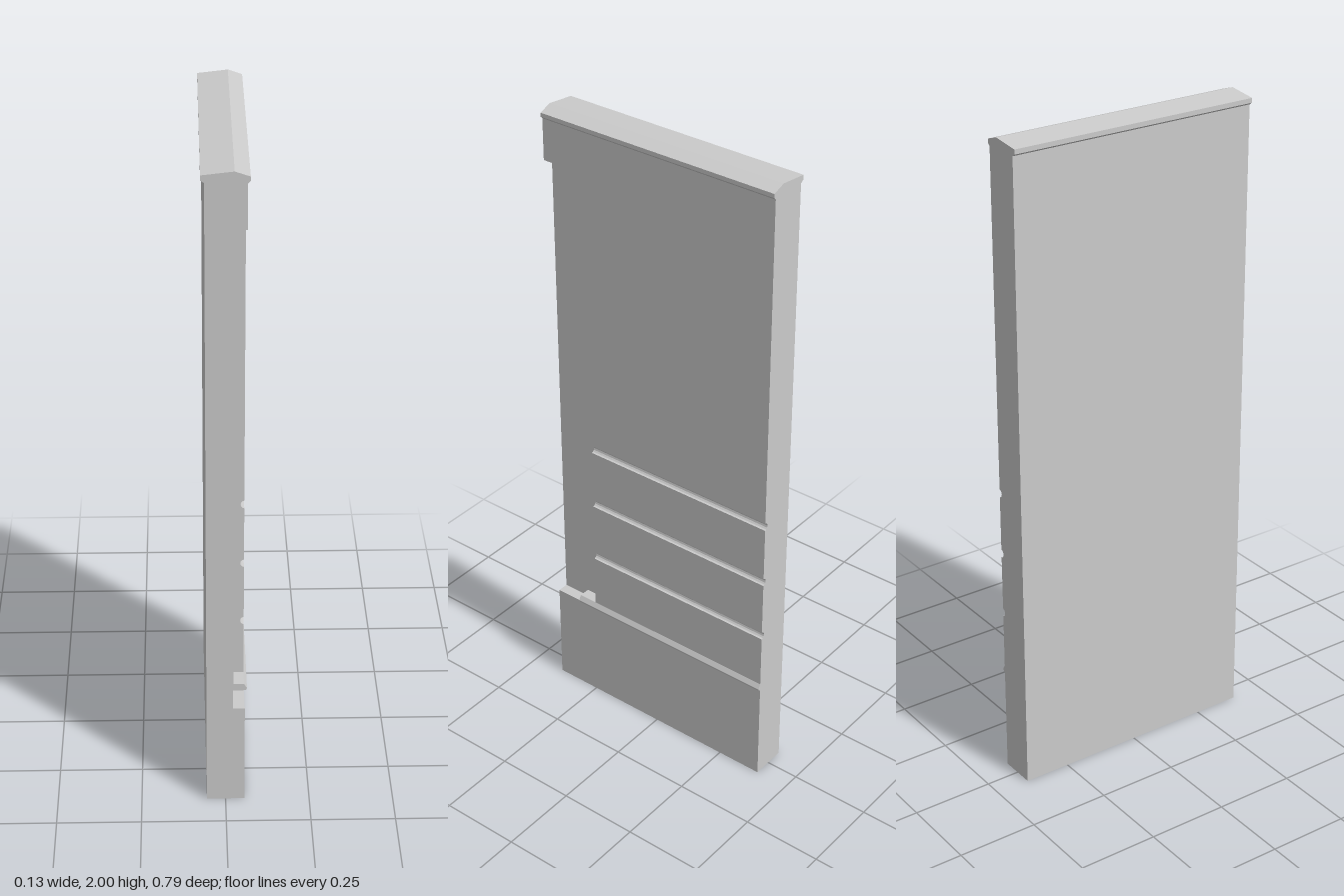
import * as THREE from 'three';

const material = new THREE.MeshStandardMaterial({ color: 0xcccccc });
const FACE = 0.056; // half thickness of the wall
const BACK_Z = -0.395, FRONT_Z = 0.395;
const NOTCH_Z = 0.245, SILL_END_Z = 0.305;
const NOTCH_X = 0.022, NOTCH_LOW = 0.33, NOTCH_HIGH = 1.84;

// Extrude an x-y outline between two z positions
function extrudeZ(name, points, z0, z1) {
  const shape = new THREE.Shape(points.map(([x, y]) => new THREE.Vector2(x, y)));
  const geometry = new THREE.ExtrudeGeometry(shape, { depth: z1 - z0, bevelEnabled: false });
  geometry.translate(0, 0, z0);
  const mesh = new THREE.Mesh(geometry, material);
  mesh.name = name;
  return mesh;
}

// Half-round groove cut into the +x face, listed upwards
function groove(y, r = 0.0125, steps = 6) {
  return Array.from({ length: steps + 1 }, (_, i) => {
    const a = (Math.PI * i) / steps;
    return [FACE - 0.011 * Math.sin(a), y - r * Math.cos(a)];
  });
}

// Overhanging coping with a sloped top, from the +x face round to the -x face
const coping = [
  [FACE, 1.967], [0.063, 1.974], [0.063, 1.986], [0.022, 2],
  [-0.066, 1.99], [-0.066, 1.976], [-FACE, 1.969],
];

// Nose of the sill moulding, listed upwards
const sillNose = [[FACE, NOTCH_LOW], [0.062, 0.331], [0.065, 0.338], [FACE, 0.353]];

export function createModel() {
  const group = new THREE.Group();
  group.name = 'wallPanel';

  // Main wall: sill, three grooves and coping in one section
  group.add(extrudeZ('groovedWall', [
    [-FACE, 0], [FACE, 0],
    ...sillNose,
    ...[0.537, 0.735, 0.932].flatMap((y) => groove(y)),
    ...coping,
  ], BACK_Z, NOTCH_Z));

  // Front end of the wall with the tall recess
  group.add(extrudeZ('recessedEnd', [
    [-FACE, 0], [FACE, 0], [FACE, NOTCH_LOW],
    [NOTCH_X, NOTCH_LOW], [NOTCH_X, NOTCH_HIGH - 0.006],
    [NOTCH_X + 0.006, NOTCH_HIGH], [FACE, NOTCH_HIGH],
    ...coping,
  ], NOTCH_Z, FRONT_Z));

  // Sill running on into the recess
  group.add(extrudeZ('sillEnd', [
    [NOTCH_X, NOTCH_LOW], ...sillNose, [NOTCH_X, 0.353],
  ], NOTCH_Z, SILL_END_Z));

  return group;
}
